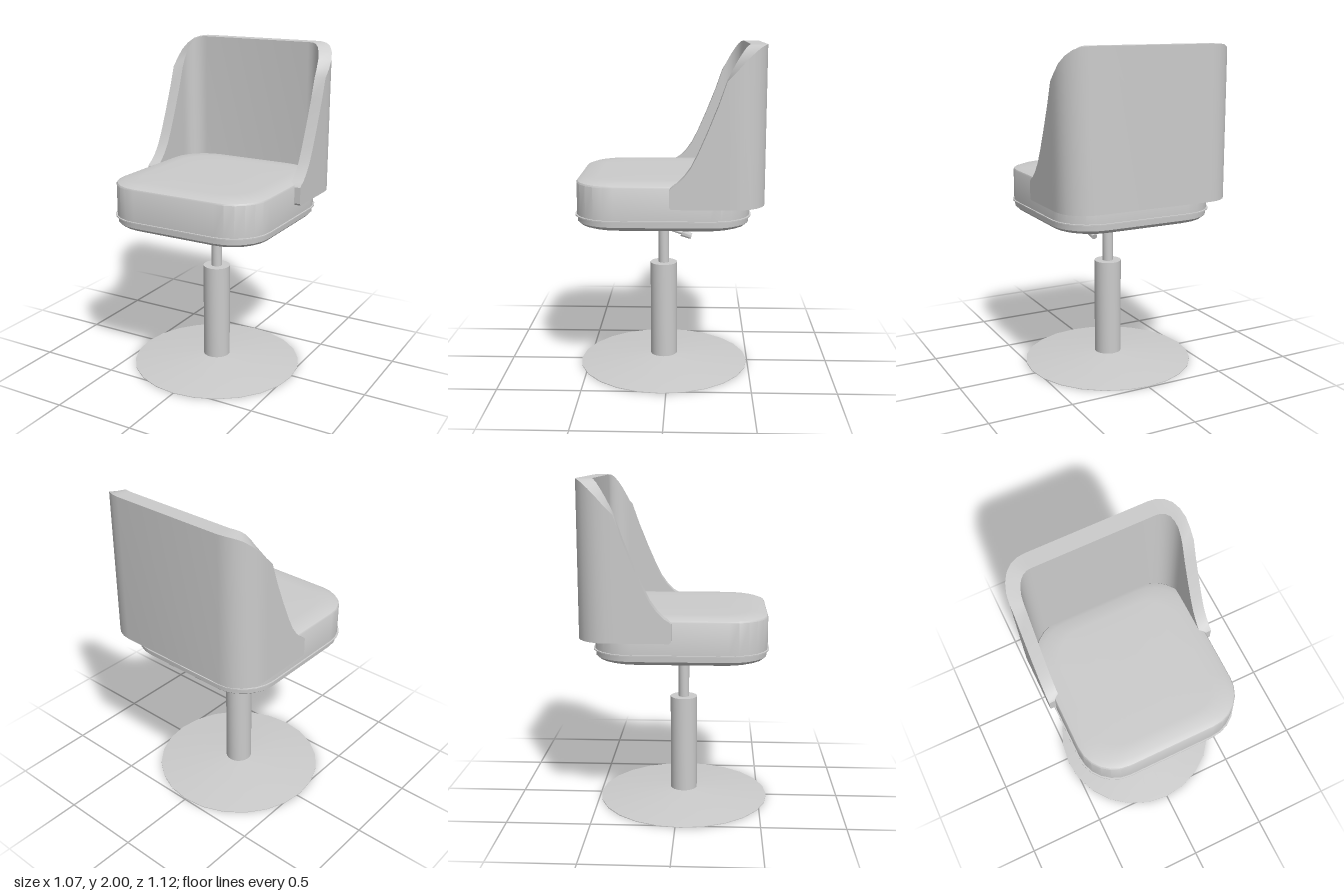
import * as THREE from 'three';
import { toCreasedNormals } from 'three/addons/utils/BufferGeometryUtils.js';

const material = new THREE.MeshStandardMaterial({ color: 0xcccccc });
const CENTRE_Z = 0.03;

function part(name, geometry) {
  const mesh = new THREE.Mesh(geometry, material);
  mesh.name = name;
  return mesh;
}

// Skin a list of closed rings; every ring has the same number of points.
function loft(rings, crease = 0.6) {
  const positions = [];
  const edge1 = new THREE.Vector3(), edge2 = new THREE.Vector3();
  const tri = (a, b, c) => {
    edge1.subVectors(b, a);
    edge2.subVectors(c, a);
    if (edge1.cross(edge2).length() < 1e-9) return;
    for (const p of [a, b, c]) positions.push(p.x, p.y, p.z);
  };
  for (let i = 0; i < rings.length - 1; i++) {
    const r = rings[i], s = rings[i + 1], n = r.length;
    for (let j = 0; j < n; j++) {
      const k = (j + 1) % n;
      tri(r[j], s[j], r[k]);
      tri(s[j], s[k], r[k]);
    }
  }
  const geometry = new THREE.BufferGeometry();
  geometry.setAttribute('position', new THREE.Float32BufferAttribute(positions, 3));
  return toCreasedNormals(geometry, crease);
}

// Square ring with rounded corners, seen from above.
function squareRing(half, y, radius = 0.23) {
  const ring = [], steps = 6, scale = half / 0.497;
  for (let q = 0; q < 4; q++) {
    const cx = (q === 0 || q === 3 ? 1 : -1) * (0.497 - radius);
    const cz = (q < 2 ? 1 : -1) * (0.505 - radius);
    for (let i = 0; i <= steps; i++) {
      const a = (q + i / steps) * Math.PI / 2;
      ring.push(new THREE.Vector3(
        scale * (cx + radius * Math.cos(a)), y, 0.025 + scale * (cz + radius * Math.sin(a))));
    }
  }
  return ring;
}

const pad = (profile) => loft(profile.map(([half, y]) => squareRing(half, y)));

// Turned parts of the pedestal.
function turned(profile, segments = 24) {
  const points = profile.map(([r, y]) => new THREE.Vector2(r, y));
  const geometry = toCreasedNormals(new THREE.LatheGeometry(points, segments), 0.6);
  return geometry.translate(0, 0, CENTRE_Z);
}

// Wraparound back: a wall swept along a U, with its top edge rising to the rear.
function backShell() {
  // Armrest edge: z, bottom, top
  const side = [
    [-0.02, 1.112, 1.21], [-0.03, 1.1, 1.222], [-0.06, 1.24], [-0.1, 1.28], [-0.14, 1.335],
    [-0.18, 1.415], [-0.23, 1.53], [-0.29, 1.68], [-0.335, 1.81],
  ];
  const stations = side.map((s) => {
    const z = s[0], top = s[s.length - 1], bottom = s.length === 3 ? s[1] : 1.1;
    return { outer: [0.535, z], inner: [0.465, z], bottom, top };
  });
  // Rear corner
  const tops = [1.86, 1.91, 1.95, 1.98, 1.995, 2, 2];
  tops.forEach((top, i) => {
    const a = i / 6 * Math.PI / 2, c = Math.cos(a), s = Math.sin(a);
    stations.push({
      outer: [0.36 + 0.175 * c, -0.385 - 0.175 * s],
      inner: [0.36 + 0.105 * c, -0.36 - 0.105 * s],
      bottom: 1.1, top,
    });
  });
  const section = ({ outer, inner, bottom, top }, sign) => [
    new THREE.Vector3(sign * outer[0], bottom, outer[1]),
    new THREE.Vector3(sign * outer[0], top, outer[1]),
    new THREE.Vector3(sign * inner[0], top, inner[1]),
    new THREE.Vector3(sign * inner[0], bottom, inner[1]),
  ];
  const rings = [
    ...stations.map((s) => section(s, 1)),
    ...stations.slice().reverse().map((s) => section(s, -1)),
  ];
  // Close both front ends
  const cap = (ring) => {
    const middle = ring.reduce((sum, p) => sum.add(p), new THREE.Vector3()).divideScalar(4);
    return ring.map(() => middle);
  };
  return loft([cap(rings[0]), ...rings, cap(rings[rings.length - 1])]);
}

// Height lever: a bent rod with a grip on the end.
function heightLever() {
  const lever = new THREE.Group();
  lever.name = 'heightLever';
  const v = (x, y, z) => new THREE.Vector3(x, y, z);
  const bendEnd = v(0.178, 0.91, 0.0), gripStart = v(0.178, 0.882, -0.085), gripEnd = v(0.178, 0.86, -0.142);
  const path = new THREE.CurvePath();
  path.add(new THREE.LineCurve3(v(0.02, 0.922, CENTRE_Z), v(0.15, 0.922, CENTRE_Z)));
  path.add(new THREE.QuadraticBezierCurve3(v(0.15, 0.922, CENTRE_Z), v(0.178, 0.92, CENTRE_Z), bendEnd));
  path.add(new THREE.LineCurve3(bendEnd, gripStart));
  lever.add(part('leverRod', new THREE.TubeGeometry(path, 24, 0.011, 8)));

  const axis = gripEnd.clone().sub(gripStart);
  const grip = part('leverGrip',
    toCreasedNormals(new THREE.CylinderGeometry(0.022, 0.018, axis.length(), 10), 0.7));
  grip.position.copy(gripStart).lerp(gripEnd, 0.5);
  grip.quaternion.setFromUnitVectors(v(0, -1, 0), axis.normalize());
  lever.add(grip);
  return lever;
}

export function createModel() {
  const chair = new THREE.Group();
  chair.name = 'swivelChair';

  // Pedestal
  chair.add(part('basePlate', turned([[0, 0], [0.525, 0], [0.525, 0.004], [0.083, 0.05], [0, 0.05]])));
  chair.add(part('column', turned([[0.083, 0.045], [0.083, 0.65], [0, 0.65]])));
  chair.add(part('pistonRod', turned([[0.033, 0.64], [0.033, 0.91]], 16)));
  chair.add(part('collar', turned([[0, 0.897], [0.04, 0.897], [0.04, 0.965]], 16)));
  chair.add(heightLever());

  // Seat
  chair.add(part('seatPan', pad([
    [0, 0.96], [0.455, 0.96], [0.475, 0.968], [0.492, 0.985], [0.494, 1.02], [0, 1.02]])));
  chair.add(part('seatPiping', pad([
    [0.48, 1.017], [0.505, 1.019], [0.505, 1.025], [0.48, 1.027]])));
  chair.add(part('seatCushion', pad([
    [0, 1.022], [0.497, 1.022], [0.497, 1.212], [0.492, 1.221],
    [0.46, 1.234], [0.38, 1.238], [0.2, 1.24], [0, 1.24]])));

  // Back
  chair.add(part('backShell', backShell()));
  return chair;
}
